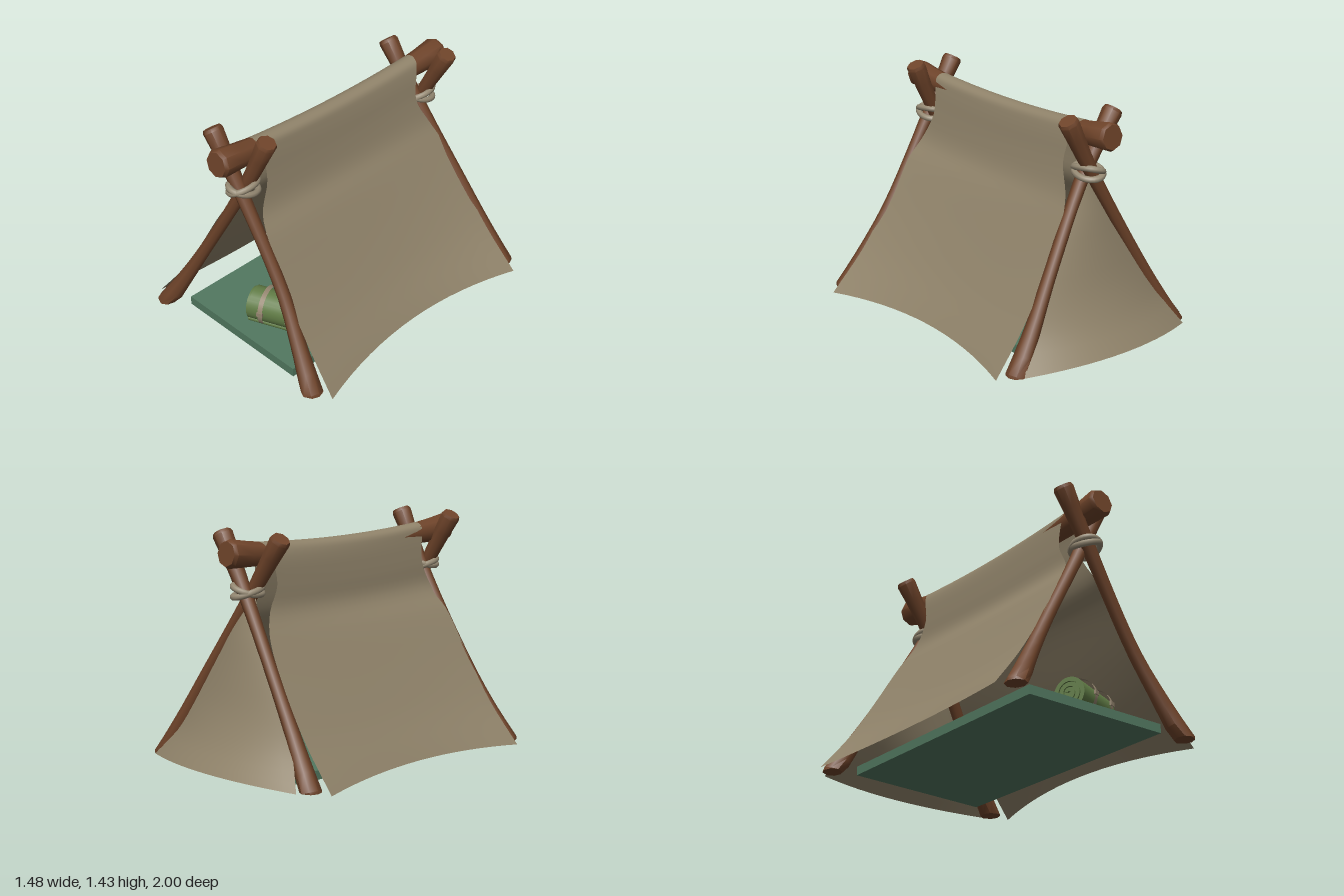
import * as THREE from 'three';
import { toCreasedNormals } from 'three/addons/utils/BufferGeometryUtils.js';

const mat = (name, color, side = THREE.FrontSide) => {
  const m = new THREE.MeshStandardMaterial({ color, side });
  m.name = name;
  return m;
};
const V = (p) => new THREE.Vector3(...p);
const spline = (pts) => new THREE.CatmullRomCurve3(pts.map(V));

// Log with chamfered flat ends: a tube whose radius follows rStart, rMid, rEnd
function logGeometry(points, rStart, rMid, rEnd, sides = 8) {
  const n = 18, curve = spline(points);
  const g = new THREE.TubeGeometry(curve, n, 1, sides);
  const pos = g.attributes.position, v = new THREE.Vector3();
  for (let i = 0; i <= n; i++) {
    const at = curve.getPointAt(i / n);
    const edge = Math.min(i, n - i);
    let t = (i - 2) / (n - 4);
    if (edge < 2) t = i < 2 ? 0 : 1;
    else t = 0.012 + t * 0.976;
    const target = curve.getPointAt(t);
    const end = t < 0.5 ? rStart : rEnd;
    const r = (rMid + (end - rMid) * Math.pow(Math.abs(2 * t - 1), 2.5)) * [0, 0.85, 1][Math.min(edge, 2)];
    for (let j = 0; j <= sides; j++) {
      const q = i * (sides + 1) + j;
      v.fromBufferAttribute(pos, q).sub(at).multiplyScalar(r).add(target);
      pos.setXYZ(q, v.x, Math.max(v.y, 0.015), v.z);
    }
  }
  return toCreasedNormals(g, 0.8);
}

// Cloth sheet: a grid whose points come from fn(u, v), both 0..1
function sheetGeometry(nu, nv, fn) {
  const g = new THREE.PlaneGeometry(1, 1, nu, nv);
  const { position, uv } = g.attributes;
  for (let i = 0; i < position.count; i++) {
    const p = fn(uv.getX(i), uv.getY(i));
    position.setXYZ(i, p.x, p.y, p.z);
  }
  g.computeVertexNormals();
  return g;
}

export function createModel() {
  const model = new THREE.Group();
  model.name = 'tent';
  const wood = mat('wood', 0x6f442a);
  const canvas = mat('canvas', 0x90836a, THREE.DoubleSide);
  const rope = mat('rope', 0x968a74);
  const green = mat('mat green', 0x527860);
  const olive = mat('bedroll green', 0x607b45);
  const strapMat = mat('strap', 0x93846e, THREE.DoubleSide);

  const add = (name, geometry, material, parent = model) => {
    const m = new THREE.Mesh(geometry, material);
    m.name = name;
    parent.add(m);
    return m;
  };

  // Crossed end poles
  const poles = {
    frontPoleRight: [[-0.64, -0.015, 0.93], [-0.485, 0.25, 0.875], [-0.33, 0.52, 0.837], [-0.02, 1.07, 0.79], [0.145, 1.415, 0.77]],
    frontPoleLeft: [[0.625, -0.015, 0.93], [0.455, 0.27, 0.88], [0.31, 0.52, 0.845], [-0.01, 1.07, 0.845], [-0.21, 1.4, 0.855]],
    backPoleRight: [[-0.635, -0.015, -0.775], [-0.468, 0.27, -0.745], [-0.32, 0.52, -0.728], [-0.01, 1.05, -0.7], [0.175, 1.38, -0.705]],
    backPoleLeft: [[0.625, -0.015, -0.805], [0.455, 0.27, -0.765], [0.31, 0.52, -0.725], [-0.02, 1.05, -0.64], [-0.24, 1.365, -0.625]],
  };
  for (const [name, pts] of Object.entries(poles)) add(name, logGeometry(pts, 0.068, 0.038, 0.062), wood);

  // Ridge pole
  add('ridgePole', logGeometry([[-0.03, 1.3, 0.995], [-0.03, 1.275, 0.7], [-0.03, 1.245, 0],
    [-0.03, 1.26, -0.6], [-0.03, 1.28, -0.85]], 0.088, 0.055, 0.086), wood);

  // Main canvas: x, y, front z, back z from right hem over the ridge to left hem
  const profile = [
    [-0.74, 0.005, 0.89, -0.725], [-0.545, 0.25, 0.86, -0.725], [-0.385, 0.5, 0.845, -0.72], [-0.215, 0.8, 0.815, -0.69],
    [-0.138, 0.95, 0.77, -0.62], [-0.124, 1.1, 0.7, -0.55], [-0.108, 1.26, 0.71, -0.58], [-0.078, 1.325, 0.72, -0.6],
    [-0.03, 1.345, 0.72, -0.61],
    [0.018, 1.325, 0.72, -0.6], [0.042, 1.26, 0.71, -0.58], [0.07, 1.1, 0.7, -0.55], [0.115, 0.93, 0.78, -0.625],
    [0.182, 0.8, 0.82, -0.675], [0.355, 0.5, 0.845, -0.72], [0.525, 0.25, 0.86, -0.745], [0.735, 0.005, 0.885, -0.77],
  ];
  // The front edge is pulled in a little below the ridge
  const frontEdge = spline(profile.map(([x, y, f]) => [y > 0.9 && y < 1.3 ? x * 0.85 : x, y, f]));
  const backEdge = spline(profile.map(([x, y, , b]) => [x, y - 0.01 * y, b]));
  add('canvasCover', sheetGeometry(64, 16, (u, v) => {
    const p = frontEdge.getPoint(u).lerp(backEdge.getPoint(u), v);
    const sag = 1 - (2 * v - 1) ** 2, low = Math.max(0, 1 - p.y / 1.2) ** 1.5;
    p.x -= (p.x * 0.136 + 0.02) * sag * low;
    p.y += sag * (0.036 * low - 0.025 * Math.min(1, p.y / 1.3));
    return p;
  }), canvas);

  // Closed back panel, flaring out at the hem
  const flapSide = spline([[0.615, 0.02, -0.873], [0.505, 0.19, -0.795], [0.4, 0.37, -0.755], [0.265, 0.6, -0.72], [0.15, 0.8, -0.69], [0.02, 1.06, -0.635]]);
  const flapMid = spline([[0, 0.04, -1.0], [0, 0.19, -0.905], [0, 0.37, -0.828], [0, 0.6, -0.768], [0, 0.8, -0.72], [0, 1.06, -0.635]]);
  add('backFlap', sheetGeometry(16, 16, (u, v) => {
    const s = 2 * u - 1, side = flapSide.getPoint(v);
    const p = flapMid.getPoint(v).lerp(side, s * s);
    p.x = side.x * s;
    return p;
  }), canvas);

  // Rope lashings: two crossing tilted loops where the poles meet
  for (const [name, y, z] of [['frontLashing', 1.085, 0.82], ['backLashing', 1.055, -0.675]]) {
    const lash = new THREE.Group();
    lash.name = name;
    lash.position.set(-0.01, y, z);
    for (const [dy, tx, tz] of [[0.006, 0.14, 0.33], [-0.008, -0.24, -0.16]]) {
      const loop = add('ropeLoop', new THREE.TorusGeometry(0.08, 0.019, 8, 28), rope, lash);
      loop.scale.set(0.95, 1.15, 1);
      loop.position.y = dy;
      loop.rotation.set(Math.PI / 2 + tx, tz, 0);
    }
    model.add(lash);
  }

  // Ground mat
  const matShape = new THREE.Shape();
  [[-0.485, -0.865], [0.445, -0.91], [0.44, 0.73], [-0.48, 0.73]].forEach(([x, y], i) =>
    i ? matShape.lineTo(x, y) : matShape.moveTo(x, y));
  const matGeo = new THREE.ExtrudeGeometry(matShape, { depth: 0.055, bevelEnabled: false });
  matGeo.rotateX(-Math.PI / 2);
  add('groundMat', matGeo, green).position.y = 0.017;

  // Rolled bedding with a spiral section
  const bedroll = new THREE.Group();
  bedroll.name = 'bedroll';
  bedroll.position.set(0.093, 0.184, 0.66);
  bedroll.rotation.y = 0.34;
  model.add(bedroll);
  const turns = 2.7, steps = 72, length = 0.36, outer = [], inner = [];
  for (let i = 0; i <= steps; i++) {
    const t = i / steps, a = -Math.PI * 0.45 - (1 - t) * turns * Math.PI * 2, r = 0.026 + 0.084 * t;
    outer.push(new THREE.Vector2(Math.cos(a) * r, Math.sin(a) * r));
    inner.unshift(new THREE.Vector2(Math.cos(a) * (r - 0.025), Math.sin(a) * (r - 0.025)));
  }
  const rollGeo = new THREE.ExtrudeGeometry(new THREE.Shape([...outer, ...inner]), { depth: length, bevelEnabled: false });
  rollGeo.translate(0, 0, -length / 2);
  rollGeo.rotateY(Math.PI / 2);
  add('rolledBlanket', toCreasedNormals(rollGeo, 0.7), olive, bedroll);
  const cylinderX = (r, len, open = false) =>
    new THREE.CylinderGeometry(r, r, len, 28, 1, open).rotateZ(Math.PI / 2);
  add('rollCore', cylinderX(0.098, length - 0.025), olive, bedroll);
  const tail = add('blanketTail', cylinderX(0.026, length), olive, bedroll);
  tail.scale.z = 1.7;
  tail.position.set(0, -0.083, 0.036);

  // Straps with buckles
  for (const x of [-0.078, 0.108]) {
    const strap = add('strap', cylinderX(0.115, 0.03, true), strapMat, bedroll);
    strap.scale.z = 1.08;
    strap.position.x = x;
    const buckle = add('buckle', new THREE.BoxGeometry(0.038, 0.026, 0.012), strapMat, bedroll);
    buckle.position.set(x, 0.01, 0.124);
  }
  return model;
}
